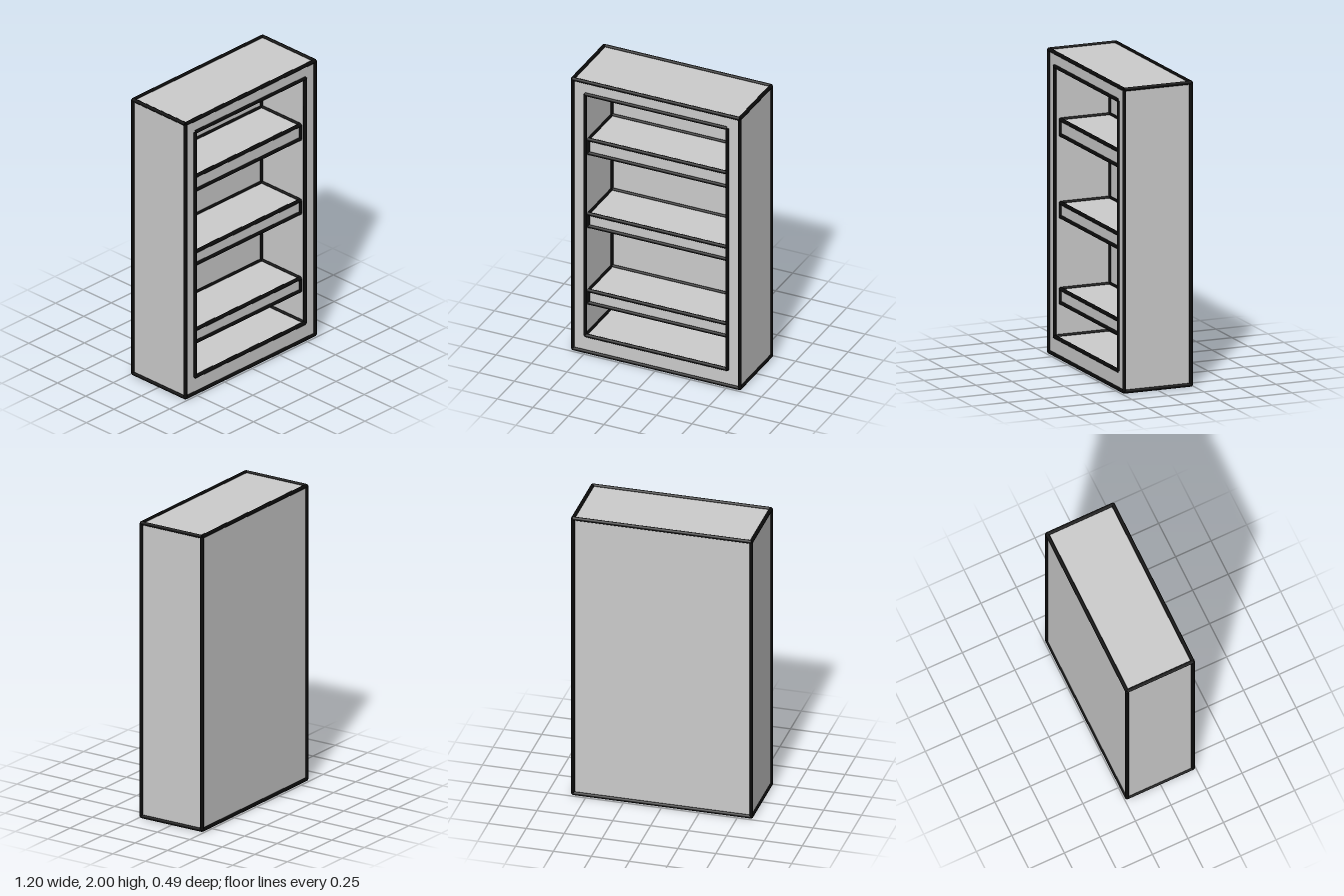
import * as THREE from 'three';

const R = 0.0125;                                   // radius of the edge rods
const W = 0.588, Y0 = R, Y1 = 2 - R, D = 0.232;     // outer case
const IW = 0.5, IY0 = 0.13, IY1 = 1.897;            // front opening
const BACK = -0.155, SHELF_FRONT = 0.19;
const SHELVES = [[0.347, 0.437], [0.909, 0.999], [1.444, 1.544]]; // bottom, top

const grey = new THREE.MeshStandardMaterial({ color: 0xcccccc, flatShading: true });
const black = new THREE.MeshStandardMaterial({ color: 0x0a0a0a });

function box(name, x0, x1, y0, y1, z0, z1) {
  const m = new THREE.Mesh(new THREE.BoxGeometry(x1 - x0, y1 - y0, z1 - z0), grey);
  m.position.set((x0 + x1) / 2, (y0 + y1) / 2, (z0 + z1) / 2);
  m.name = name;
  return m;
}

// Rods along the twelve edges of a box
function edgeRods(name, ...ranges) {
  const group = new THREE.Group();
  group.name = name;
  const up = new THREE.Vector3(0, 1, 0);
  for (let axis = 0; axis < 3; axis++) {
    const b = (axis + 1) % 3, c = (axis + 2) % 3;
    const [lo, hi] = ranges[axis];
    for (const pb of ranges[b]) for (const pc of ranges[c]) {
      const rod = new THREE.Mesh(new THREE.CylinderGeometry(R, R, hi - lo, 8), black);
      rod.position.setComponent(axis, (lo + hi) / 2);
      rod.position.setComponent(b, pb);
      rod.position.setComponent(c, pc);
      const dir = new THREE.Vector3().setComponent(axis, 1);
      rod.quaternion.setFromUnitVectors(up, dir);
      rod.name = 'edgeRod';
      group.add(rod);
    }
  }
  return group;
}

function rectangle(PathType, w, y0, y1) {
  const p = new PathType();
  p.moveTo(-w, y0);
  p.lineTo(w, y0);
  p.lineTo(w, y1);
  p.lineTo(-w, y1);
  p.closePath();
  return p;
}

export function createModel() {
  const model = new THREE.Group();
  model.name = 'bookcase';

  // Case: frame around the opening, closed by a back panel
  const outline = rectangle(THREE.Shape, W, Y0, Y1);
  outline.holes.push(rectangle(THREE.Path, IW, IY0, IY1));
  const frame = new THREE.Mesh(
    new THREE.ExtrudeGeometry(outline, { depth: D - BACK, bevelEnabled: false }), grey);
  frame.position.z = BACK;
  frame.name = 'frame';
  model.add(frame, box('backPanel', -W, W, Y0, Y1, -D, BACK));

  // Dark rods on the outer and inner edges of the case
  model.add(
    edgeRods('caseEdges', [-W, W], [Y0, Y1], [-D, D]),
    edgeRods('openingEdges', [-IW, IW], [IY0, IY1], [BACK, D]));

  // Shelves, set back slightly from the front
  for (const [y0, y1] of SHELVES) {
    model.add(
      box('shelf', -IW, IW, y0, y1, BACK, SHELF_FRONT),
      edgeRods('shelfEdges', [-IW, IW], [y0, y1], [BACK, SHELF_FRONT]));
  }
  return model;
}
